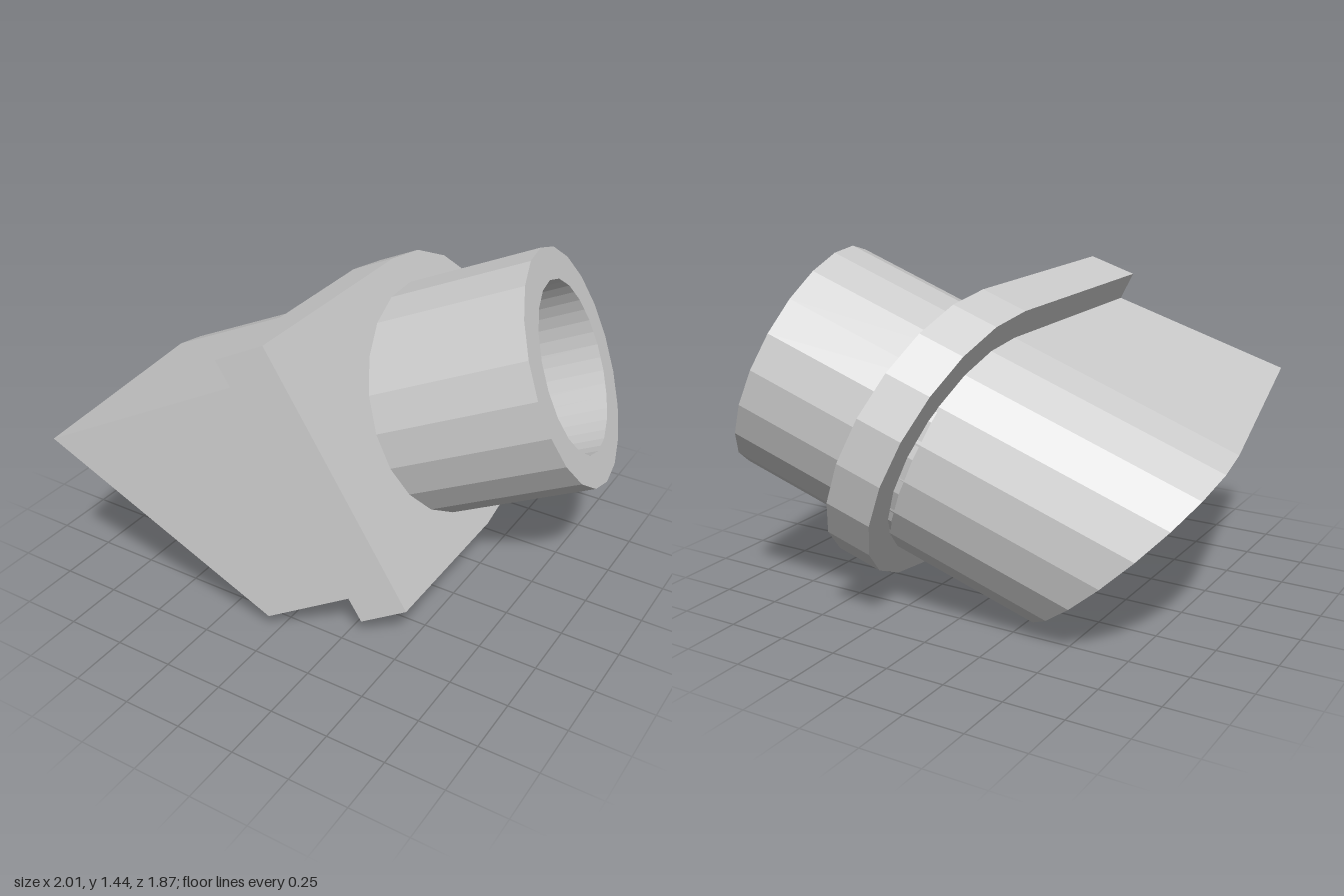
import * as THREE from 'three';

const V = (x, y, z) => new THREE.Vector3(x, y, z);
const N = V(0.914, 0.405, 0);            // collar plane normal
const U = V(-0.405, 0.914, 0);           // across the collar
const BASE = V(0.24, 0.74, -0.32);       // pipe axis at the collar face
const AXIS = V(0.9, 0.4, -0.18).normalize();
const CUT_POINT = V(-0.8, 0.83, 0.93);   // slanted end of the body
const CUT_NORMAL = V(-0.65, -0.735, 0.19);
const HALF = 10;                         // steps per half outline
const TILT = -0.183;                     // sideways drift of the axis along N

// One outline point: round at the back, flat on the slanted front plane
function outlinePoint(k, r, w, round) {
  const front = k > HALF;
  const a = Math.PI * (front ? (k - 1) / HALF : k / HALF);
  const p = BASE.clone().addScaledVector(U, r * Math.cos(a)).addScaledVector(N, w);
  if (front && !round) p.z = 0.6 - 0.4 * p.x;
  else p.z += TILT * w - r * Math.sin(a);
  return p;
}

function ring(r, w, round = false) {
  return Array.from({ length: 2 * HALF + 2 }, (_, k) => outlinePoint(k, r, w, round));
}

// Outline slid along its own edges until it meets the slanted cut
function cutRing(r) {
  const f = (p) => p.clone().sub(CUT_POINT).dot(CUT_NORMAL);
  const a = ring(r, 0), b = ring(r, 1);
  return a.map((p, i) => p.clone().lerp(b[i], f(p) / (f(p) - f(b[i]))));
}

// Flat-faced loft through rings, optionally closing the first one
function loft(rings, capStart) {
  const pos = [];
  const tri = (a, b, c) => {
    const area = b.clone().sub(a).cross(c.clone().sub(a)).length();
    if (area > 1e-7) for (const p of [a, b, c]) pos.push(p.x, p.y, p.z);
  };
  const n = rings[0].length;
  for (let i = 0; i < n; i++) {
    const j = (i + 1) % n;
    for (let s = 0; s + 1 < rings.length; s++) {
      const lo = rings[s], hi = rings[s + 1];
      tri(lo[i], hi[i], hi[j]);
      tri(lo[i], hi[j], lo[j]);
    }
  }
  if (capStart) {
    const c = V(0, 0, 0);
    rings[0].forEach((p) => c.addScaledVector(p, 1 / n));
    for (let i = 0; i < n; i++) tri(c, rings[0][i], rings[0][(i + 1) % n]);
  }
  const g = new THREE.BufferGeometry();
  g.setAttribute('position', new THREE.Float32BufferAttribute(pos, 3));
  g.computeVertexNormals();
  return g;
}

export function createModel() {
  const model = new THREE.Group();
  const flat = new THREE.MeshStandardMaterial({ color: 0xcccccc, flatShading: true });
  const add = (name, geometry, parent = model) => {
    const m = new THREE.Mesh(geometry, flat);
    m.name = name;
    parent.add(m);
  };

  const bodyR = 0.505, collarR = 0.625, thick = 0.184;

  // Body with a slanted closed end
  add('body', loft([cutRing(bodyR), ring(bodyR, -thick)], true));

  // Collar plate, open in the middle for the bore
  add('collar', loft([
    ring(bodyR, -thick), ring(collarR, -thick), ring(collarR, 0), ring(0.43, 0, true),
  ], false));

  // Pipe and its blind bore, measured back from the mouth
  const pipe = new THREE.Group();
  pipe.name = 'pipe';
  pipe.position.set(0.78, 0.98, -0.43);
  pipe.quaternion.setFromUnitVectors(V(0, 1, 0), AXIS);
  model.add(pipe);
  const lathe = (pts, n) => new THREE.LatheGeometry(pts.map(([r, y]) => new THREE.Vector2(r, y)), n);
  add('pipeWall', lathe([[0.5, -0.72], [0.5, 0], [0.365, 0]], 20), pipe);
  add('bore', lathe([[0.365, 0], [0.365, -1.34], [0, -1.34]], 40), pipe);

  return model;
}
